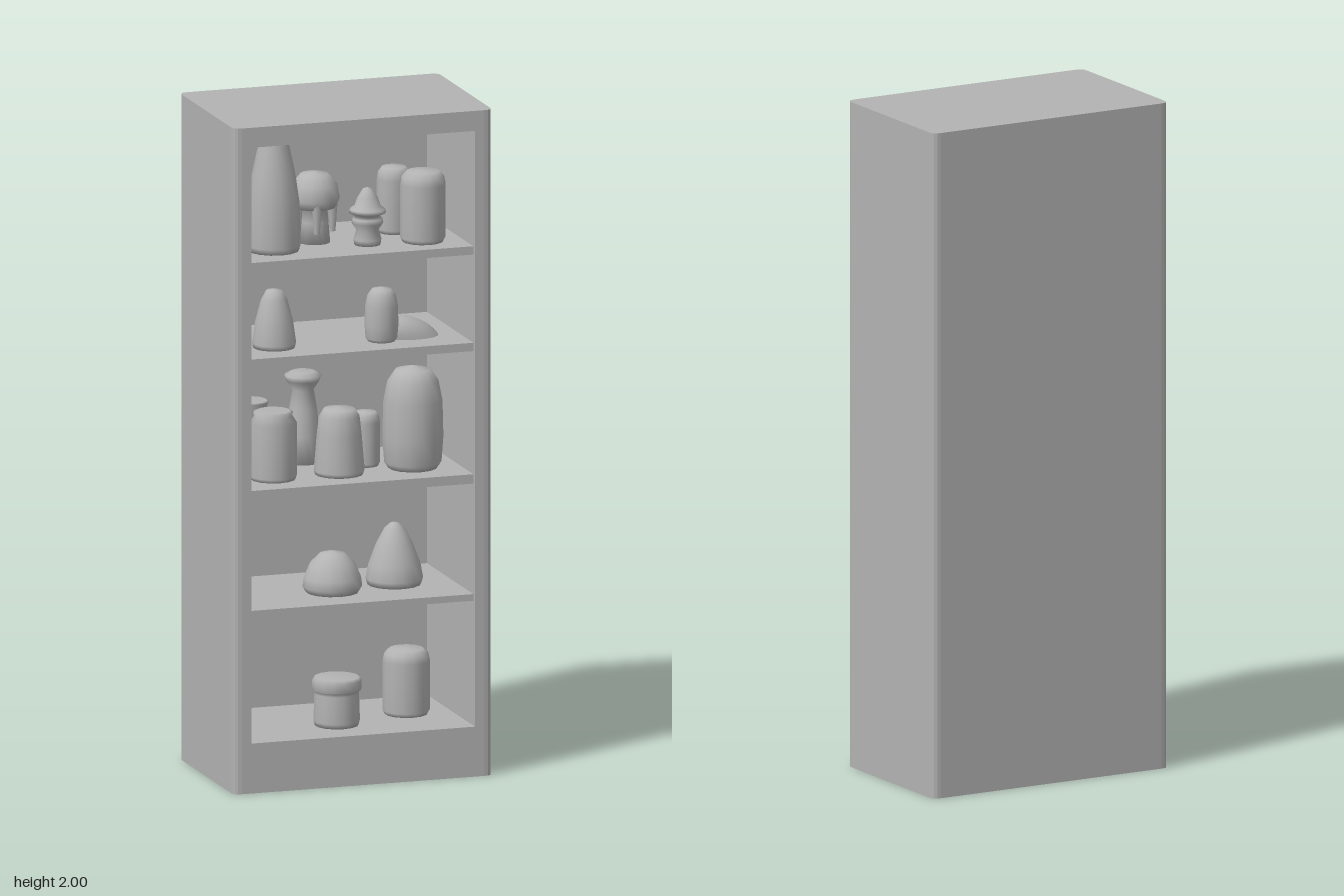
import * as THREE from 'three';

const W = 0.4, D = 0.25, R = 0.025;      // outer half width, half depth, corner radius
const IN = 0.345, BACK = 0.19;           // inner half width, distance to the back panel
const FLOOR = 0.15, CEIL = 1.94;

export function createModel() {
  const model = new THREE.Group();
  const grey = new THREE.MeshStandardMaterial({ color: 0xb3b3b3 });
  grey.name = 'plain grey';

  const add = (name, geometry, x = 0, y = 0, z = 0, parent = model) => {
    const mesh = new THREE.Mesh(geometry, grey);
    mesh.name = name;
    mesh.position.set(x, y, z);
    parent.add(mesh);
    return mesh;
  };

  // Rounded plan outline of the case; an open front turns it into a U
  const plan = (open) => {
    const s = new THREE.Shape();
    s.moveTo(open ? IN : 0, -D);
    s.lineTo(W - R, -D);
    s.quadraticCurveTo(W, -D, W, -D + R);
    s.lineTo(W, D - R);
    s.quadraticCurveTo(W, D, W - R, D);
    s.lineTo(-W + R, D);
    s.quadraticCurveTo(-W, D, -W, D - R);
    s.lineTo(-W, -D + R);
    s.quadraticCurveTo(-W, -D, -W + R, -D);
    if (open) {
      s.lineTo(-IN, -D);
      s.lineTo(-IN, BACK);
      s.lineTo(IN, BACK);
    }
    s.closePath();
    return s;
  };
  const slab = (open, height) =>
    new THREE.ExtrudeGeometry(plan(open), { depth: height, bevelEnabled: false, curveSegments: 4 })
      .rotateX(-Math.PI / 2);

  // Case
  add('base', slab(false, FLOOR), 0, 0, 0);
  add('sidesAndBack', slab(true, CEIL - FLOOR), 0, FLOOR, 0);
  add('top', slab(false, 2 - CEIL), 0, CEIL, 0);

  // Shelves: top height and thickness
  const shelves = [[0.545, 0.02], [0.905, 0.028], [1.3, 0.025], [1.59, 0.025]];
  const front = 0.235;
  for (const [y, t] of shelves) {
    add('shelf', new THREE.BoxGeometry(2 * IN, t, front + BACK), 0, y - t / 2, (front - BACK) / 2);
  }

  // Turned objects: profiles of [radius share, height share] from bottom to top
  const profiles = {
    jar: [[0, 0], [0.9, 0], [1, 0.06], [1, 0.8], [0.93, 0.91], [0.72, 0.98], [0, 1]],
    lidded: [[0, 0], [0.88, 0], [0.94, 0.1], [0.9, 0.66], [0.88, 0.72], [1, 0.74], [1, 0.93], [0.9, 1], [0, 1]],
    neckJar: [[0, 0], [0.95, 0], [1, 0.05], [1, 0.82], [0.8, 0.93], [0.84, 0.98], [0.7, 1], [0, 1]],
    taper: [[0, 0], [0.95, 0], [1, 0.06], [0.88, 0.6], [0.8, 0.86], [0.62, 0.97], [0, 1]],
    egg: [[0, 0], [0.8, 0], [0.94, 0.06], [1, 0.3], [0.97, 0.65], [0.84, 0.85], [0.58, 0.96], [0, 1]],
    dome: [[0, 0], [0.88, 0], [1, 0.14], [0.96, 0.36], [0.76, 0.7], [0.42, 0.94], [0, 1]],
    peak: [[0, 0], [0.93, 0], [1, 0.1], [0.9, 0.34], [0.64, 0.66], [0.36, 0.9], [0.14, 0.99], [0, 1]],
    horn: [[0, 0], [0.95, 0], [1, 0.08], [0.86, 0.45], [0.6, 0.82], [0.36, 0.98], [0, 1]],
    bottle: [[0, 0], [0.94, 0], [1, 0.05], [0.96, 0.4], [0.8, 0.66], [0.56, 0.92], [0.5, 1], [0, 1]],
    goblet: [[0, 0], [0.9, 0], [0.85, 0.3], [0.7, 0.6], [0.55, 0.8], [0.85, 0.9], [0.95, 0.96], [0.6, 1], [0, 1]],
    flared: [[0, 0], [0.85, 0], [0.75, 0.5], [0.8, 0.8], [1, 0.98], [0.9, 1], [0, 1]],
    mushroom: [[0, 0], [0.62, 0], [0.55, 0.3], [0.5, 0.52], [0.85, 0.5], [1, 0.62], [0.9, 0.82], [0.55, 0.97], [0, 1]],
    figure: [[0, 0], [0.7, 0], [0.75, 0.1], [0.6, 0.26], [0.85, 0.38], [0.8, 0.46], [0.62, 0.5], [1, 0.56],
      [0.95, 0.62], [0.7, 0.68], [0.55, 0.82], [0.25, 0.97], [0, 1]],
  };

  // name, profile, x, z, radius, bottom, top
  const objects = [
    ['liddedPot', 'lidded', -0.03, 0.095, 0.073, FLOOR, 0.295],
    ['canister', 'jar', 0.21, 0.02, 0.07, FLOOR, 0.35],
    ['dome', 'dome', -0.035, 0.07, 0.088, 0.545, 0.668],
    ['peakedMound', 'peak', 0.17, 0.03, 0.085, 0.545, 0.73],
    ['leftJar', 'neckJar', -0.228, 0.1, 0.07, 0.905, 1.11],
    ['middleJar', 'taper', -0.024, 0.1, 0.075, 0.905, 1.107],
    ['largeJar', 'egg', 0.207, 0.09, 0.09, 0.905, 1.212],
    ['goblet', 'goblet', -0.075, -0.08, 0.058, 0.905, 1.178],
    ['flaredVase', 'flared', -0.235, -0.09, 0.055, 0.905, 1.1],
    ['smallJar', 'jar', 0.085, 0.02, 0.042, 0.905, 1.07],
    ['pointedVase', 'horn', -0.225, 0.1, 0.065, 1.3, 1.475],
    ['ovalVase', 'egg', 0.1, 0.12, 0.05, 1.3, 1.462],
    ['tallBottle', 'bottle', -0.225, 0.095, 0.08, 1.59, 1.938],
    ['mushroomVase', 'mushroom', -0.077, 0.03, 0.075, 1.59, 1.802],
    ['hattedFigure', 'figure', 0.06, 0.11, 0.055, 1.59, 1.762],
    ['rightJar', 'jar', 0.228, 0.12, 0.067, 1.59, 1.805],
    ['rearJar', 'jar', 0.185, -0.02, 0.05, 1.59, 1.79],
  ];
  const contents = new THREE.Group();
  contents.name = 'shelfContents';
  model.add(contents);
  for (const [name, key, x, z, r, y0, y1] of objects) {
    const points = profiles[key].map(([a, b]) => new THREE.Vector2(a * r, b * (y1 - y0)));
    add(name, new THREE.LatheGeometry(points, 14), x, y0, z, contents);
  }

  // Drips hanging from the mushroom vase
  for (let i = 0; i < 5; i++) {
    const a = i * Math.PI * 0.4 + 0.5;
    add('drip', new THREE.CylinderGeometry(0.016, 0.009, 0.09, 7),
      -0.077 + Math.cos(a) * 0.054, 1.67, 0.03 + Math.sin(a) * 0.054, contents);
  }

  // Low mound beside the oval vase, sloping down to the right
  const mound = new THREE.SphereGeometry(1, 14, 6, 0, Math.PI * 2, 0, Math.PI / 2);
  const pos = mound.attributes.position;
  for (let i = 0; i < pos.count; i++) {
    const x = pos.getX(i), y = pos.getY(i);
    pos.setXYZ(i, x * 0.085 - y * 0.04, y * 0.065, pos.getZ(i) * 0.055);
  }
  mound.computeVertexNormals();
  add('slopingMound', mound, 0.2, 1.3, 0.09, contents);

  return model;
}
